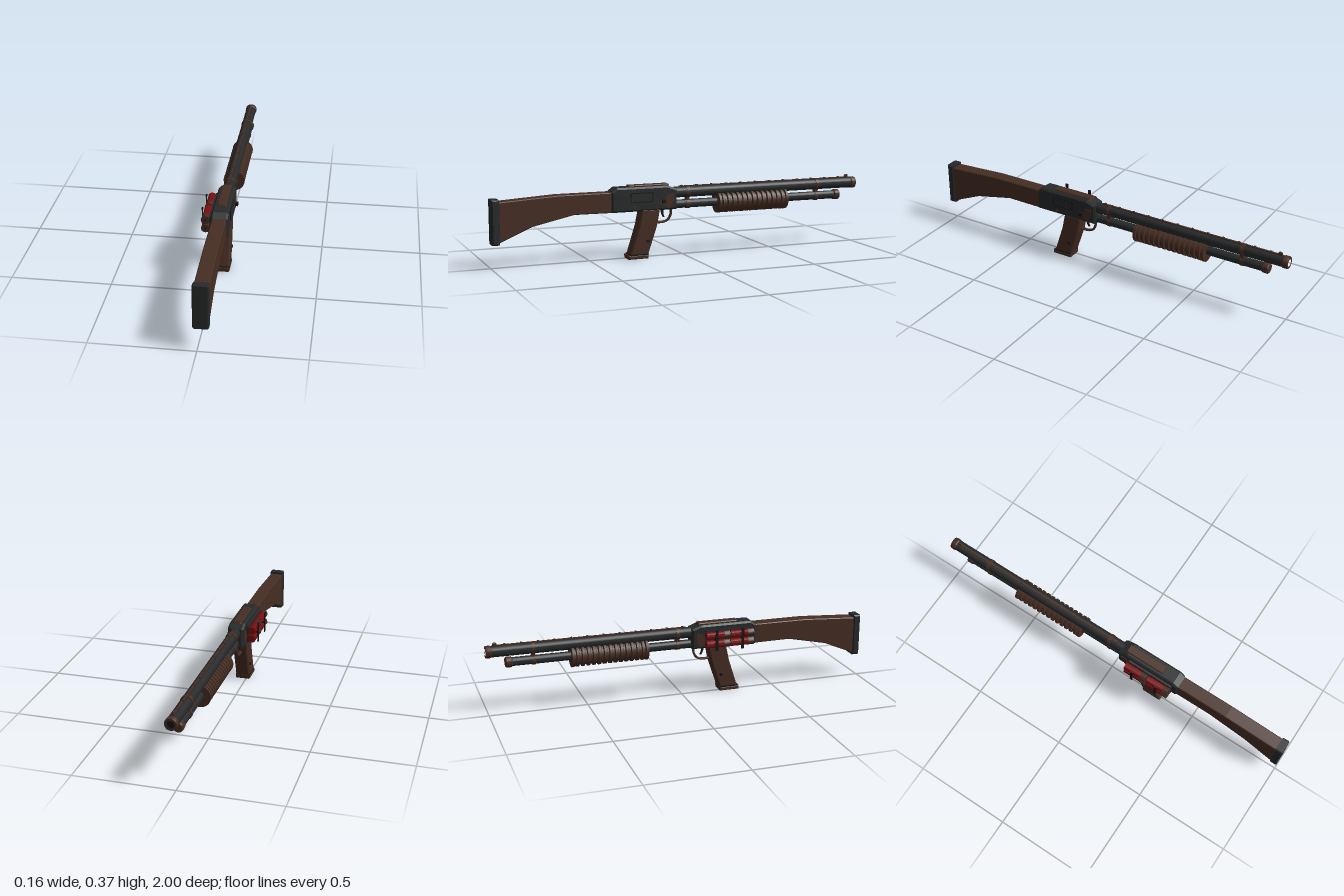
import * as THREE from 'three';
import { toCreasedNormals } from 'three/addons/utils/BufferGeometryUtils.js';

const mat = (name, color) => {
  const m = new THREE.MeshStandardMaterial({ color });
  m.name = name;
  return m;
};

export function createModel() {
  const steel = mat('gunmetal', 0x27292a);
  const brown = mat('walnutBrown', 0x462d22);
  const black = mat('black', 0x151515);
  const red = mat('shellRed', 0x780c10);

  const model = new THREE.Group();
  model.name = 'pumpShotgun';
  const body = new THREE.Group();
  body.name = 'body';
  body.position.x = 0.018;
  model.add(body);

  const add = (name, geo, material, x = 0, y = 0, z = 0) => {
    const m = new THREE.Mesh(geo, material);
    m.name = name;
    m.position.set(x, y, z);
    body.add(m);
    return m;
  };
  const box = (name, w, h, d, material, x, y, z) =>
    add(name, new THREE.BoxGeometry(w, h, d), material, x, y, z);

  // Side outline of [z, y] points, extruded across x with a small bevel
  const slab = (name, pts, width, material, bevel = 0.005, x = 0) => {
    const shape = new THREE.Shape(pts.map(([z, y]) => new THREE.Vector2(z, y)));
    const geo = new THREE.ExtrudeGeometry(shape, {
      depth: width - 2 * bevel, bevelEnabled: bevel > 0, bevelSize: bevel,
      bevelThickness: bevel, bevelOffset: -bevel, bevelSegments: 1,
    });
    geo.translate(0, 0, bevel - width / 2);
    geo.rotateY(-Math.PI / 2);
    return add(name, geo, material, x);
  };

  // Round part along z from [z, radius] points, z increasing
  const turned = (name, pts, material, x, y, sides = 20) => {
    const geo = new THREE.LatheGeometry(pts.map(([z, r]) => new THREE.Vector2(r, z)), sides);
    geo.rotateX(Math.PI / 2);
    return add(name, toCreasedNormals(geo, 0.6), material, x, y);
  };
  const rod = (name, z0, z1, r, material, x, y, sides) =>
    turned(name, [[z0, 0], [z0, r], [z1, r], [z1, 0]], material, x, y, sides);

  // Pin across x
  const pin = (name, r, length, material, x, y, z, sides = 10) => {
    const geo = new THREE.CylinderGeometry(r, r, length, sides);
    geo.rotateZ(Math.PI / 2);
    return add(name, geo, material, x, y, z);
  };

  // Stock and butt pad
  slab('stock', [[0.39, 0.243], [0.59, 0.245], [0.80, 0.2], [0.965, 0.13],
    [0.965, 0.328], [0.675, 0.345], [0.39, 0.345]], 0.068, brown, 0.004);
  slab('buttPad', [[0.962, 0.12], [1, 0.12], [1, 0.34], [0.962, 0.34]], 0.076, steel, 0.006);

  // Receiver
  slab('receiver', [[0.05, 0.243], [0.4, 0.243], [0.4, 0.345], [0.37, 0.366],
    [0.1, 0.366], [0.05, 0.348]], 0.083, steel, 0.009);
  slab('topPlate', [[0.085, 0.364], [0.305, 0.364], [0.3, 0.374], [0.09, 0.374]], 0.046, brown, 0.004);
  box('portFrame', 0.006, 0.05, 0.12, black, 0.041, 0.313, 0.24);
  box('ejectionPort', 0.006, 0.04, 0.108, steel, 0.0425, 0.313, 0.24);
  box('boltHandle', 0.024, 0.018, 0.018, black, 0.047, 0.288, 0.125);
  for (const s of [-1, 1]) {
    slab('sidePlate', [[0.07, 0.285], [0.095, 0.25], [0.12, 0.27], [0.148, 0.275],
      [0.14, 0.295], [0.115, 0.3], [0.105, 0.322], [0.07, 0.325]], 0.004, brown, 0, s * 0.042);
    pin('receiverPin', 0.008, 0.008, brown, s * 0.041, 0.262, 0.28);
  }

  // Barrel, muzzle ring and bore
  const barrelY = 0.325, tubeY = 0.264;
  rod('barrel', -0.985, 0.07, 0.028, steel, 0, barrelY);
  turned('muzzleRing', [[-1, 0.018], [-1, 0.029], [-0.995, 0.031], [-0.975, 0.031], [-0.97, 0.027]],
    brown, 0, barrelY);
  rod('bore', -0.988, -0.98, 0.02, black, 0, barrelY);

  // Sighting rail and front sight
  box('rail', 0.01, 0.006, 0.99, brown, 0, 0.354, -0.47);
  for (let i = 0; i < 12; i++) box('railPost', 0.013, 0.006, 0.01, brown, 0, 0.357, 0.01 - i * 0.083);
  slab('frontSight', [[-0.965, 0.35], [-0.935, 0.35], [-0.945, 0.369], [-0.96, 0.369]], 0.01, brown, 0.002);

  // Magazine tube and cap
  rod('magazineTube', -0.88, 0.07, 0.022, steel, 0, tubeY);
  turned('tubeCap', [[-0.905, 0], [-0.905, 0.022], [-0.9, 0.027], [-0.875, 0.027], [-0.87, 0.022],
    [-0.87, 0]], brown, 0, tubeY);

  // Clamps joining barrel and tube
  for (const z of [-0.765, -0.02]) {
    rod('barrelClamp', z - 0.009, z + 0.009, 0.031, brown, 0, barrelY);
    rod('tubeClamp', z - 0.009, z + 0.009, 0.025, brown, 0, tubeY);
    box('clampBridge', 0.03, 0.05, 0.016, brown, 0, 0.294, z);
  }

  // Ribbed pump grip
  const pump = [[-0.577, 0], [-0.577, 0.056], [-0.565, 0.056], [-0.563, 0.046]];
  const ribs = 13, step = 0.366 / ribs;
  for (let i = 0; i < ribs; i++) {
    const z = -0.563 + i * step;
    pump.push([z + step * 0.2, 0.046], [z + step * 0.32, 0.055],
      [z + step * 0.78, 0.055], [z + step * 0.9, 0.046]);
  }
  pump.push([-0.196, 0.056], [-0.183, 0.056], [-0.183, 0]);
  turned('pumpGrip', pump, brown, 0, 0.261, 20);

  // Pistol grip with base and pins
  slab('pistolGrip', [[0.3, 0.02], [0.205, 0.02], [0.156, 0.165], [0.14, 0.25], [0.236, 0.25],
    [0.254, 0.165]], 0.074, brown, 0.006);
  slab('gripSeam', [[0.303, 0.018], [0.206, 0.018], [0.204, 0.025], [0.301, 0.025]], 0.075, black, 0);
  slab('gripBase', [[0.31, 0], [0.205, 0], [0.203, 0.02], [0.31, 0.02]], 0.078, brown, 0.004);
  pin('gripPin', 0.008, 0.086, black, 0, 0.09, 0.208);

  // Trigger guard and trigger
  const guard = new THREE.CatmullRomCurve3([[0.25, 0.068], [0.215, 0.07], [0.187, 0.086],
    [0.176, 0.115], [0.178, 0.16]].map(([y, z]) => new THREE.Vector3(0, y, z)));
  const guardGeo = new THREE.TubeGeometry(guard, 16, 0.006, 8);
  guardGeo.scale(1.6, 1, 1);
  add('triggerGuard', guardGeo, brown);
  slab('trigger', [[0.125, 0.25], [0.108, 0.25], [0.112, 0.222], [0.104, 0.2], [0.112, 0.2],
    [0.122, 0.222]], 0.01, black, 0.001);

  // Spare shells on the right flank of the receiver
  box('shellPlate', 0.012, 0.09, 0.25, steel, -0.046, 0.295, 0.245);
  for (const y of [0.273, 0.318]) {
    for (const z of [0.115, 0.245]) {
      rod('shellCase', z, z + 0.095, 0.02, red, -0.071, y, 12);
      turned('shellHead', [[z + 0.093, 0], [z + 0.093, 0.0205], [z + 0.118, 0.0205],
        [z + 0.118, 0.022], [z + 0.124, 0.022], [z + 0.124, 0]], brown, -0.071, y, 12);
      rod('primer', z + 0.124, z + 0.126, 0.006, black, -0.071, y, 8);
    }
  }

  // Straps holding the shells
  for (const z of [0.165, 0.305]) {
    box('shellStrap', 0.004, 0.11, 0.014, black, -0.094, 0.297, z);
    for (const y of [0.25, 0.346]) box('strapNub', 0.007, 0.008, 0.014, black, -0.094, y, z);
    box('strapArm', 0.045, 0.006, 0.01, black, -0.072, 0.2955, z);
  }

  return model;
}
